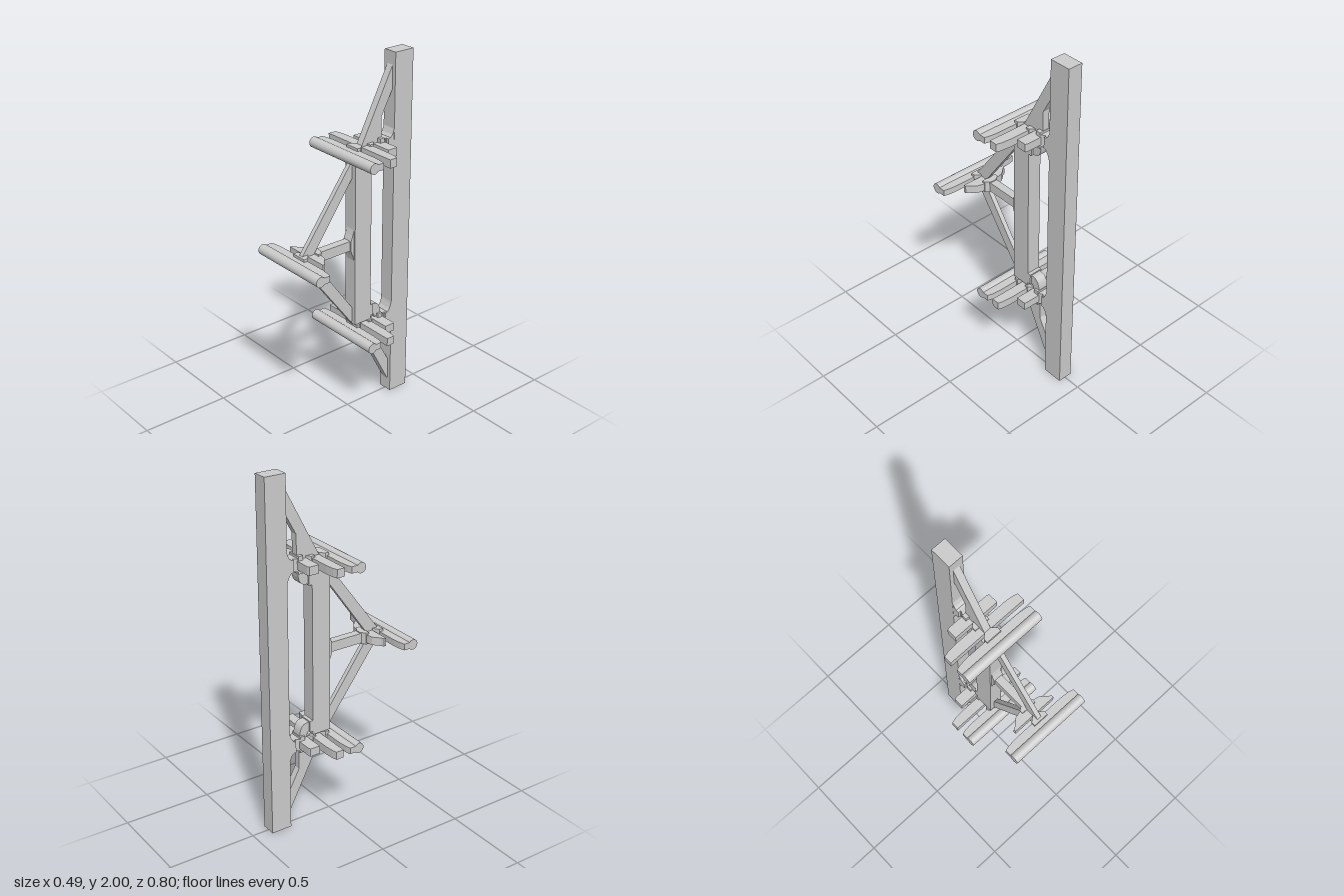
import * as THREE from 'three';

const material = new THREE.MeshStandardMaterial({ color: 0xcccccc, flatShading: true });
const smooth = new THREE.MeshStandardMaterial({ color: 0xcccccc });

function extrude(shape, depth) {
  const g = new THREE.ExtrudeGeometry(shape, { depth, bevelEnabled: false, curveSegments: 8 });
  return g.translate(0, 0, -depth / 2);
}
const toShape = pts => new THREE.Shape(pts.map(p => new THREE.Vector2(p[0], p[1])));

export function createModel() {
  const model = new THREE.Group();

  function add(name, geometry, parent = model, mat = material) {
    const mesh = new THREE.Mesh(geometry, mat);
    mesh.name = name;
    parent.add(mesh);
    return mesh;
  }
  // Profile of [z, y] points, extruded across x
  const side = (name, pts, width, parent) =>
    add(name, extrude(toShape(pts), width).rotateY(-Math.PI / 2), parent);
  // Half outline of [x, z] points from back to front, mirrored and extruded in y
  const plan = (name, half, height, y, parent) => {
    const other = half.map(([x, z]) => [-x, z]).reverse();
    return add(name, extrude(toShape([...half, ...other]), height)
      .rotateX(Math.PI / 2).translate(0, y, 0), parent);
  };
  const box = (name, w, y0, y1, z0, z1, parent) =>
    add(name, new THREE.BoxGeometry(w, y1 - y0, z1 - z0)
      .translate(0, (y0 + y1) / 2, (z0 + z1) / 2), parent);

  // Tapered socket holding a bar
  const socket = (name, z0, z1, y, parent, neck = 0.015) =>
    plan(name, [[neck, z0], [0.045, z0 + (z1 - z0) * 0.5], [0.045, z1]], 0.066, y, parent);

  // Round front edge with a flat backing rail behind it
  function roundBar(z, y, parent) {
    add('roundBar', new THREE.CylinderGeometry(0.029, 0.029, 0.486, 32)
      .rotateZ(Math.PI / 2).translate(0, y, z), parent, smooth);
    plan('barBacking', [[0.165, z - 0.07], [0.215, z - 0.065], [0.243, z - 0.058], [0.243, z - 0.015]],
      0.036, y, parent);
  }

  // Uprights
  box('mainPost', 0.084, 0, 2, -0.4, -0.28);
  box('innerPost', 0.08, 0.525, 1.475, -0.13, -0.02);

  // Upper and lower arm assemblies
  for (const s of [1, -1]) {
    const arm = new THREE.Group();
    arm.name = s > 0 ? 'upperArm' : 'lowerArm';
    model.add(arm);
    const Y = d => 1 + s * d;
    const y = Y(0.513);
    const flip = pts => pts.map(([z, d]) => [z, Y(d)]);

    side('outerBrace', flip([[-0.28, 0.93], [-0.04, 0.47], [-0.13, 0.47], [-0.21, 0.53],
      [-0.21, 0.67], [-0.28, 0.80]]), 0.04, arm);
    side('innerBrace', flip([[0.31, 0], [0.31, 0.03], [-0.04, 0.5], [-0.04, 0.405], [0.25, 0]]), 0.026, arm);

    // Flared foot joining the arm to the main post
    side('postFoot', flip([[-0.285, 0.61], [-0.279, 0.59], [-0.268, 0.563], [-0.255, 0.55], [-0.24, 0.547],
      [-0.24, 0.485], [-0.255, 0.478], [-0.268, 0.46], [-0.277, 0.435], [-0.285, 0.40]]), 0.082, arm);
    plan('rearSocket', [[0.036, -0.255], [0.026, -0.235], [0.042, -0.21], [0.042, -0.19]], 0.07, y, arm);
    box('rearClamp', 0.084, Math.min(Y(0.465), Y(0.56)), Math.max(Y(0.465), Y(0.56)), -0.213, -0.185, arm);

    // Curved elbow from the inner post to the rear clamp
    const elbow = new THREE.Shape();
    elbow.moveTo(-0.14, Y(0.397));
    elbow.lineTo(-0.165, Y(0.397));
    elbow.quadraticCurveTo(-0.21, Y(0.40), -0.21, Y(0.48));
    elbow.lineTo(-0.165, Y(0.48));
    elbow.quadraticCurveTo(-0.165, Y(0.45), -0.14, Y(0.45));
    add('elbow', extrude(elbow, 0.06).rotateY(-Math.PI / 2), arm);
    box('elbowCollar', 0.08, Math.min(Y(0.39), Y(0.455)), Math.max(Y(0.39), Y(0.455)), -0.15, -0.125, arm);

    // Cross bars
    plan('rearBar', [[0.125, -0.217], [0.138, -0.213], [0.138, -0.155]], 0.046, y, arm);
    socket('middleSocket', -0.157, -0.115, y, arm, 0.022);
    plan('middleBar', [[0.165, -0.132], [0.215, -0.127], [0.243, -0.12], [0.243, -0.075]], 0.046, y, arm);
    socket('frontSocket', -0.075, -0.03, y, arm, 0.022);
    roundBar(0.026, y, arm);
  }

  // Central spar with a flared root
  box('spar', 0.046, 0.972, 1.028, -0.03, 0.2);
  side('sparRoot', [[-0.025, 0.91], [-0.02, 0.91], [-0.012, 0.94], [0, 0.972], [0, 1.028],
    [-0.012, 1.06], [-0.02, 1.09], [-0.025, 1.09]], 0.06);

  // Front assembly
  const front = new THREE.Group();
  front.name = 'frontArm';
  model.add(front);
  socket('innerSocket', 0.19, 0.23, 1, front);
  plan('curvedBar', [[0.055, 0.213], [0.085, 0.221], [0.105, 0.238], [0.12, 0.252],
    [0.136, 0.26], [0.136, 0.274]], 0.046, 1, front);
  socket('outerSocket', 0.274, 0.322, 1, front);
  roundBar(0.371, 1, front);

  return model;
}
